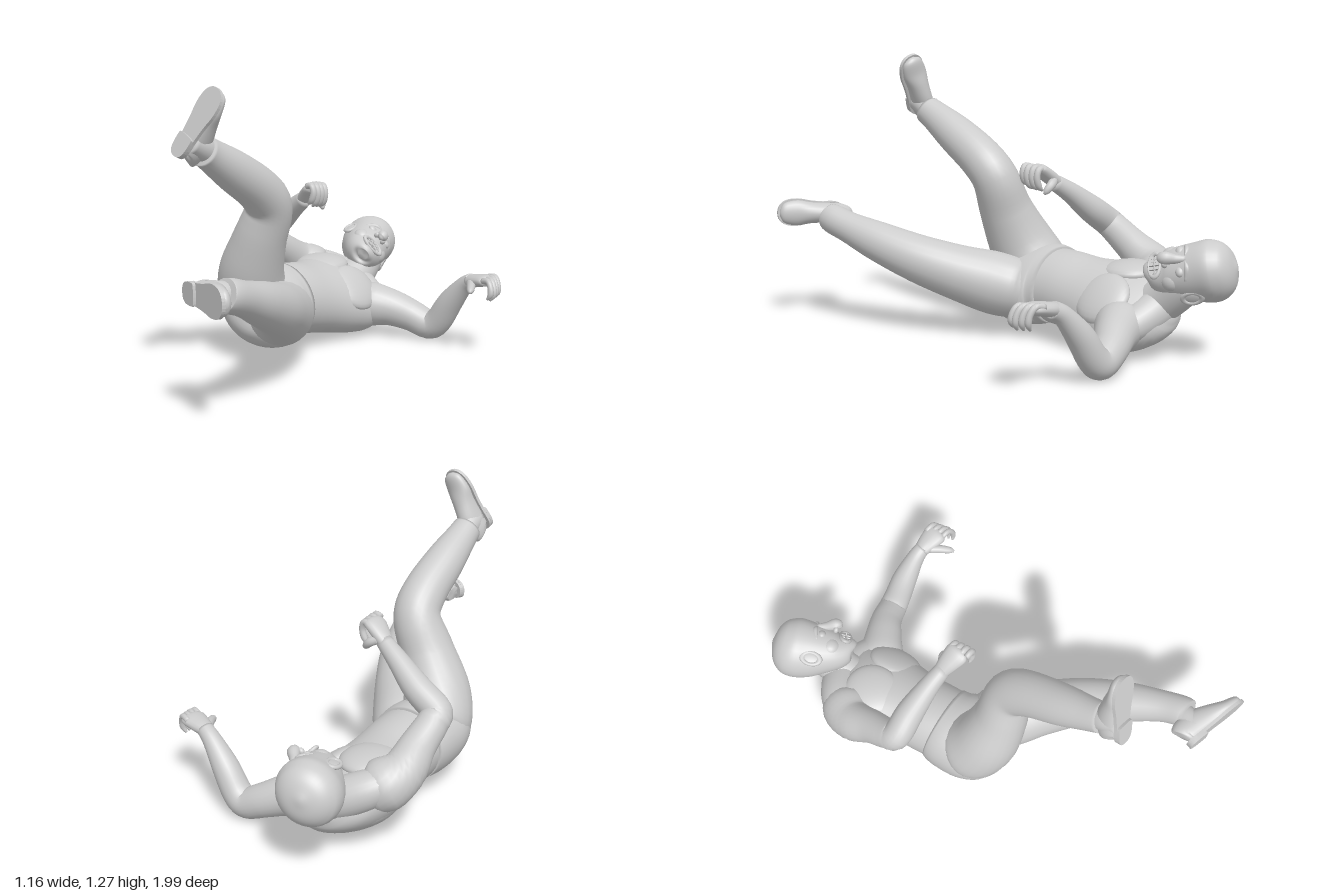
import * as THREE from 'three';

const grey = new THREE.MeshStandardMaterial({ color: 0xcccccc, side: THREE.DoubleSide });
const V = (p) => new THREE.Vector3(p[0], p[1], p[2]);

// Smooth closed loft; each station is [x, y, z, halfWidth, halfDepth?], side is the width direction
function loft(name, stations, side = [1, 0, 0], seg = 24, per = 5) {
  const path = new THREE.CatmullRomCurve3(stations.map(V), false, 'catmullrom');
  const size = new THREE.CatmullRomCurve3(
    stations.map((s) => new THREE.Vector3(s[3], s[4] ?? s[3], 0)), false, 'catmullrom');
  const n = (stations.length - 1) * per, pos = [], idx = [];
  for (let i = 0; i <= n; i++) {
    const c = path.getPoint(i / n), r = size.getPoint(i / n);
    const t = path.getTangent(i / n);
    const a = V(side).addScaledVector(t, -V(side).dot(t)).normalize();
    const b = t.clone().cross(a);
    for (let j = 0; j < seg; j++) {
      const q = (j / seg) * Math.PI * 2;
      const p = c.clone().addScaledVector(a, r.x * Math.cos(q)).addScaledVector(b, r.y * Math.sin(q));
      pos.push(p.x, p.y, p.z);
      if (i < n) {
        const u = i * seg + j, v = i * seg + ((j + 1) % seg);
        idx.push(u, v, u + seg, v, v + seg, u + seg);
      }
    }
  }
  // end caps
  const first = pos.length / 3, last = n * seg;
  for (const s of [stations[0], stations[stations.length - 1]]) pos.push(s[0], s[1], s[2]);
  for (let j = 0; j < seg; j++) {
    const k = (j + 1) % seg;
    idx.push(first, k, j, first + 1, last + j, last + k);
  }
  const g = new THREE.BufferGeometry();
  g.setAttribute('position', new THREE.Float32BufferAttribute(pos, 3));
  g.setIndex(idx);
  g.computeVertexNormals();
  return mesh(name, g);
}

function mesh(name, geometry) {
  const m = new THREE.Mesh(geometry, grey);
  m.name = name;
  return m;
}

function ellipsoid(name, p, r, turn = 0) {
  const m = mesh(name, new THREE.SphereGeometry(1, 24, 16));
  m.position.set(...p);
  m.scale.set(...r);
  m.rotation.y = turn;
  return m;
}

// Group placed at a point, its z along forward and its y as near up as possible
function framed(name, p, up, forward) {
  const g = new THREE.Group();
  const z = V(forward).normalize();
  const y = V(up).addScaledVector(z, -V(up).dot(z)).normalize();
  g.quaternion.setFromRotationMatrix(new THREE.Matrix4().makeBasis(y.clone().cross(z), y, z));
  g.position.set(...p);
  g.name = name;
  return g;
}

function makeHead() {
  const head = framed('head', [-0.34, 0.395, -0.86], [-0.39, 0.21, -0.9], [0.75, 0.6, -0.18]);
  head.add(loft('skull', [
    [0, -0.238, 0.05, 0.025], [0, -0.222, 0.05, 0.062, 0.052], [0, -0.17, 0.028, 0.094, 0.087],
    [0, -0.1, 0.012, 0.112, 0.113], [0, -0.03, -0.002, 0.123, 0.135], [0, 0.03, -0.008, 0.13, 0.14],
    [0, 0.08, -0.008, 0.113, 0.122], [0, 0.115, -0.008, 0.075, 0.08], [0, 0.135, -0.008, 0.012],
  ], [1, 0, 0], 32));
  head.add(loft('nose', [[0, -0.05, 0.115, 0.014], [0, -0.09, 0.128, 0.02], [0, -0.13, 0.148, 0.028],
    [0, -0.148, 0.142, 0.02], [0, -0.153, 0.135, 0.004]], [1, 0, 0], 16));
  // open mouth: lips and two rows of teeth
  const lips = mesh('lips', new THREE.TorusGeometry(0.042, 0.009, 10, 28));
  lips.position.set(0, -0.188, 0.099);
  lips.scale.set(1.3, 0.66, 1);
  lips.rotation.x = 0.2;
  head.add(lips);
  for (const row of [-1, 1]) for (let i = -2; i <= 2; i++) {
    const tooth = mesh('tooth', new THREE.BoxGeometry(0.014, 0.018, 0.012));
    tooth.position.set(i * 0.017, -0.188 + row * 0.012, 0.106 - Math.abs(i) * 0.004);
    head.add(tooth);
  }
  for (const s of [-1, 1]) {
    head.add(ellipsoid('nostril', [s * 0.022, -0.136, 0.13], [0.013, 0.012, 0.016]));
    head.add(ellipsoid('eyeball', [s * 0.046, -0.078, 0.1], [0.026, 0.02, 0.018]));
    head.add(ellipsoid('cheek', [s * 0.06, -0.128, 0.058], [0.044, 0.045, 0.036], s * 0.6));
    head.add(loft('brow', [[s * 0.012, -0.05, 0.121, 0.004], [s * 0.045, -0.045, 0.113, 0.012],
      [s * 0.085, -0.06, 0.083, 0.006]], [0, 1, 0], 12));
    // ear: rim around a bowl
    const ear = new THREE.Group();
    ear.name = 'ear';
    const rim = mesh('earRim', new THREE.TorusGeometry(0.027, 0.009, 10, 24));
    rim.scale.y = 1.5;
    ear.add(rim, ellipsoid('earBowl', [0, 0, 0], [0.026, 0.038, 0.007]));
    ear.position.set(s * 0.122, -0.055, 0.002);
    ear.rotation.y = s * 1.15;
    head.add(ear);
  }
  return head;
}

// Flat slab below the shoe, from a half outline of [halfWidth, length] points
function slab(name, half, top, depth) {
  const points = [...half, ...half.slice().reverse().map(([x, y]) => [-x, y])];
  const curve = new THREE.CatmullRomCurve3(points.map(([x, y]) => new THREE.Vector3(x, y, 0)), true, 'centripetal');
  const shape = new THREE.Shape(curve.getPoints(56).map((p) => new THREE.Vector2(p.x, p.y)));
  const m = mesh(name, new THREE.ExtrudeGeometry(shape, { depth, bevelEnabled: false }));
  m.rotation.x = Math.PI / 2;
  m.position.y = top;
  return m;
}

function makeShoe(p, up, forward) {
  const shoe = framed('shoe', p, up, forward);
  const upper = loft('shoeUpper', [
    [0, 0.05, 0.006, 0.03, 0.05], [0, 0.06, 0.03, 0.042, 0.062], [0, 0.06, 0.09, 0.046, 0.066],
    [0, 0.045, 0.17, 0.05, 0.052], [0, 0.03, 0.235, 0.06, 0.038], [0, 0.024, 0.295, 0.047, 0.026],
    [0, 0.02, 0.316, 0.014, 0.01]]);
  const a = upper.geometry.attributes.position;
  for (let i = 0; i < a.count; i++) a.setY(i, Math.max(a.getY(i), 0.01));
  upper.geometry.computeVertexNormals();
  shoe.add(upper);
  shoe.add(slab('sole', [[0.022, 0.002], [0.042, 0.03], [0.046, 0.1], [0.053, 0.16], [0.065, 0.23],
    [0.056, 0.29], [0.025, 0.32]], 0.015, 0.015));
  shoe.add(slab('heel', [[0.022, 0.002], [0.041, 0.025], [0.045, 0.088], [0.043, 0.094]], 0.002, 0.014));
  return shoe;
}

// Four curled fingers, each following the same path shifted along the knuckles
function addFingers(group, path, step, r) {
  for (let i = 0; i < 4; i++) {
    const k = i === 3 ? 0.88 : 1;
    group.add(loft('finger', path.map((p, j) => [
      path[0][0] + (p[0] - path[0][0]) * k + step[0] * i, path[0][1] + (p[1] - path[0][1]) * k + step[1] * i,
      path[0][2] + (p[2] - path[0][2]) * k + step[2] * i, j === path.length - 1 ? r * 0.4 : r,
    ]), step, 10, 4));
  }
}

export function createModel() {
  const model = new THREE.Group();
  model.name = 'fallingFigure';
  const lateral = [0.9, -0.43, 0];

  // torso, from the waist to the base of the neck
  model.add(loft('torso', [
    [-0.235, 0.235, -0.08, 0.18, 0.163], [-0.243, 0.23, -0.18, 0.183, 0.163], [-0.25, 0.215, -0.3, 0.194, 0.158],
    [-0.265, 0.2, -0.45, 0.235, 0.16], [-0.275, 0.19, -0.56, 0.248, 0.148], [-0.28, 0.195, -0.65, 0.2, 0.118],
    [-0.285, 0.22, -0.71, 0.1, 0.08], [-0.287, 0.23, -0.73, 0.02]], lateral, 36));
  const chest = framed('chestMuscles', [-0.265, 0.2, -0.45], [-0.06, 0, -1], [0.43, 0.9, 0]);
  for (const s of [-1, 1]) {
    chest.add(ellipsoid('pectoral', [s * 0.108, 0.03, 0.106], [0.125, 0.13, 0.047], s * 0.4));
    chest.add(ellipsoid('shoulderBlade', [s * 0.11, 0.08, -0.1], [0.1, 0.11, 0.045], -s * 0.3));
  }
  model.add(chest);
  model.add(loft('trapezius', [[-0.5, 0.34, -0.52, 0.05], [-0.42, 0.3, -0.6, 0.082], [-0.29, 0.235, -0.67, 0.085],
    [-0.14, 0.165, -0.65, 0.075], [-0.05, 0.15, -0.64, 0.05]], [0, 0, 1]));
  model.add(loft('neck', [[-0.285, 0.22, -0.63, 0.1], [-0.29, 0.27, -0.71, 0.092], [-0.3, 0.33, -0.78, 0.09],
    [-0.32, 0.37, -0.83, 0.085]], [1, 0, 0]));
  model.add(makeHead());

  // trousers: seat and two legs
  model.add(loft('trouserSeat', [
    [-0.24, 0.236, -0.13, 0.186, 0.168], [-0.238, 0.234, -0.06, 0.207, 0.174], [-0.22, 0.227, 0.02, 0.222, 0.168],
    [-0.19, 0.222, 0.1, 0.198, 0.152], [-0.165, 0.225, 0.165, 0.13, 0.11], [-0.155, 0.23, 0.19, 0.03]], lateral, 36));
  model.add(loft('rightTrouserLeg', [
    [-0.285, 0.25, -0.03, 0.08], [-0.275, 0.28, 0.04, 0.152], [-0.23, 0.4, 0.105, 0.15], [-0.155, 0.56, 0.13, 0.123],
    [-0.09, 0.71, 0.135, 0.106], [-0.07, 0.8, 0.21, 0.1], [-0.062, 0.9, 0.37, 0.09], [-0.055, 0.975, 0.5, 0.072],
    [-0.05, 1.005, 0.555, 0.066]]));
  model.add(loft('leftTrouserLeg', [
    [-0.15, 0.22, -0.08, 0.07], [-0.115, 0.22, 0.0, 0.13], [-0.05, 0.24, 0.1, 0.144], [0.06, 0.285, 0.22, 0.127],
    [0.175, 0.345, 0.37, 0.11], [0.26, 0.41, 0.54, 0.093], [0.315, 0.465, 0.69, 0.073], [0.335, 0.495, 0.78, 0.07],
    [0.335, 0.505, 0.815, 0.066]], [0, 1, 0]));

  // ankles and shoes
  model.add(loft('rightAnkle', [[-0.05, 0.98, 0.51, 0.05], [-0.05, 1.02, 0.57, 0.054], [-0.048, 1.045, 0.63, 0.045]]));
  model.add(loft('leftAnkle', [[0.33, 0.49, 0.75, 0.05], [0.315, 0.505, 0.82, 0.054], [0.285, 0.52, 0.875, 0.045]]));
  model.add(makeShoe([-0.085, 0.99, 0.675], [0, -0.36, -0.93], [0.13, 0.26, -0.1]));
  model.add(makeShoe([0.205, 0.515, 0.895], [0.31, 0, -0.95], [0.95, 0.03, 0.31]));

  // left arm, stretched out to the side
  model.add(loft('leftArm', [
    [-0.2, 0.16, -0.56, 0.05], [-0.12, 0.155, -0.59, 0.105], [-0.02, 0.14, -0.645, 0.09], [0.07, 0.105, -0.695, 0.076],
    [0.155, 0.07, -0.72, 0.069], [0.21, 0.1, -0.725, 0.065], [0.28, 0.2, -0.72, 0.059],
    [0.365, 0.295, -0.71, 0.042], [0.42, 0.33, -0.7, 0.036]], [0, 0, 1]));
  const leftHand = new THREE.Group();
  leftHand.name = 'leftHand';
  leftHand.add(loft('palm', [[0.4, 0.325, -0.7, 0.035, 0.03], [0.45, 0.335, -0.695, 0.048, 0.03],
    [0.51, 0.345, -0.685, 0.056, 0.026], [0.53, 0.345, -0.68, 0.03, 0.012]], [0, 0, 1], 16));
  addFingers(leftHand, [[0.49, 0.355, -0.73], [0.53, 0.36, -0.72], [0.552, 0.33, -0.71], [0.556, 0.295, -0.705],
    [0.54, 0.268, -0.7]], [0.007, -0.002, 0.027], 0.0135);
  leftHand.add(loft('thumb', [[0.43, 0.325, -0.67, 0.02], [0.46, 0.32, -0.63, 0.02], [0.485, 0.31, -0.59, 0.016],
    [0.495, 0.305, -0.57, 0.006]], [1, 0, 0], 12));
  model.add(leftHand);

  // right arm, bent across the body
  model.add(loft('rightArm', [
    [-0.38, 0.26, -0.57, 0.06], [-0.44, 0.295, -0.54, 0.112], [-0.485, 0.345, -0.46, 0.096], [-0.478, 0.415, -0.355, 0.077],
    [-0.478, 0.48, -0.255, 0.068], [-0.465, 0.513, -0.216, 0.066], [-0.36, 0.58, -0.21, 0.062],
    [-0.24, 0.665, -0.19, 0.046], [-0.15, 0.72, -0.17, 0.036]], [0, 0, 1]));
  const rightHand = new THREE.Group();
  rightHand.name = 'rightHand';
  rightHand.add(loft('palm', [[-0.17, 0.71, -0.175, 0.034, 0.03], [-0.12, 0.75, -0.16, 0.048, 0.03],
    [-0.075, 0.78, -0.145, 0.054, 0.026], [-0.055, 0.785, -0.14, 0.03, 0.012]], [0, 0, 1], 16));
  addFingers(rightHand, [[-0.085, 0.78, -0.185], [-0.05, 0.785, -0.18], [-0.036, 0.75, -0.178], [-0.048, 0.71, -0.178],
    [-0.07, 0.69, -0.178]], [0.003, 0.003, 0.028], 0.0145);
  rightHand.add(loft('thumb', [[-0.13, 0.73, -0.19, 0.02], [-0.1, 0.715, -0.205, 0.02], [-0.075, 0.69, -0.2, 0.016],
    [-0.065, 0.675, -0.195, 0.006]], [0, 0, 1], 12));
  model.add(rightHand);
  return model;
}
